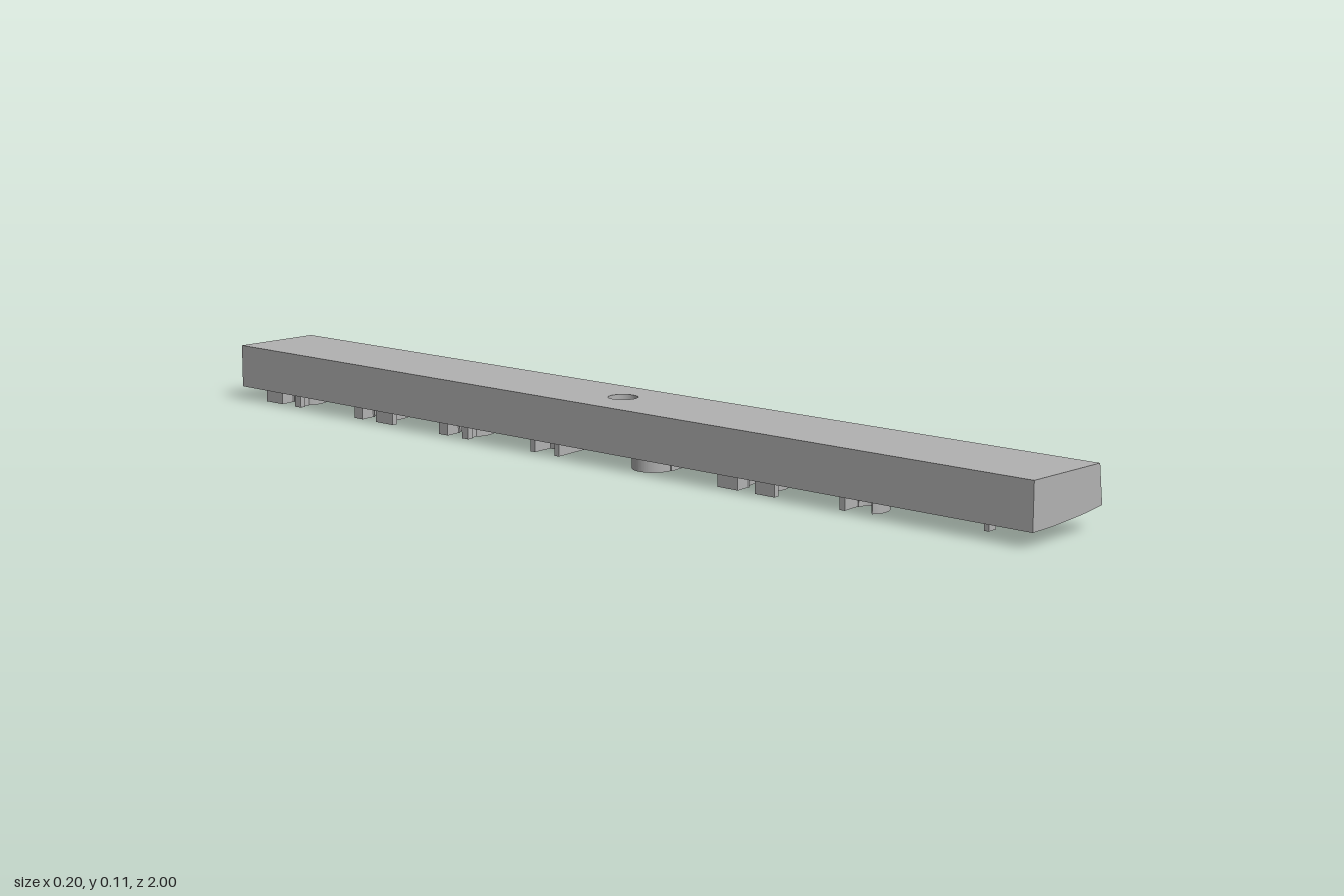
import * as THREE from 'three';
import { mergeGeometries } from 'three/addons/utils/BufferGeometryUtils.js';

const TOP = 0.115, HOLE = 0.028, DEPTH = 0.028;
const STEPS = [-0.1, -0.04, 0.04, 0.07, 0.1];

// Height of the gently curved underside, by x
const under = (x) => 0.028 + 0.014 * ((x + 0.1) / 0.2) ** 2;
const underFlat = (x) => {
  let i = 0;
  while (i < STEPS.length - 2 && x > STEPS[i + 1]) i++;
  const t = (x - STEPS[i]) / (STEPS[i + 1] - STEPS[i]);
  return THREE.MathUtils.lerp(under(STEPS[i]), under(STEPS[i + 1]), t);
};

const poly = (pts) => new THREE.Shape(pts.map(([x, y]) => new THREE.Vector2(x, y)));
const rect = (x0, x1, z0, z1) => poly([[x0, z0], [x1, z0], [x1, z1], [x0, z1]]);

function withHole(shape) {
  shape.holes.push(new THREE.Path().absarc(0, 0, HOLE, 0, Math.PI * 2, true));
  return shape;
}

// Open ring section in plan
function arc(cx, cz, r, a0, a1, w = 0.012) {
  const s = new THREE.Shape();
  s.absarc(cx, cz, r, a0, a1, false);
  s.absarc(cx, cz, r - w, a1, a0, true);
  return s;
}

// Raises plan shapes downwards from the underside
function relief(shapes) {
  const g = new THREE.ExtrudeGeometry(shapes, { depth: 1, bevelEnabled: false, curveSegments: 20 });
  g.rotateX(Math.PI / 2);
  const p = g.attributes.position;
  for (let i = 0; i < p.count; i++) {
    const f = under(p.getX(i));
    p.setY(i, p.getY(i) < -0.5 ? f - DEPTH : f + 0.002);
  }
  g.computeVertexNormals();
  return g;
}

export function createModel() {
  const group = new THREE.Group();
  const grey = new THREE.MeshStandardMaterial({ color: 0xb2b2b2 });
  grey.name = 'grey';
  const add = (name, geometry) => {
    const m = new THREE.Mesh(geometry, grey);
    m.name = name;
    group.add(m);
    return m;
  };

  // Top face with the through hole
  add('topFace', new THREE.ShapeGeometry(withHole(rect(-0.1, 0.09, -1, 1)), 24)
    .rotateX(-Math.PI / 2).translate(0, TOP, 0));

  // Curved underside in long strips
  const strips = STEPS.slice(1).map((x1, i) => {
    const s = rect(STEPS[i], x1, -1, 1);
    return new THREE.ShapeGeometry(i === 1 ? withHole(s) : s, 24).rotateX(Math.PI / 2);
  });
  const underside = mergeGeometries(strips);
  const up = underside.attributes.position;
  for (let i = 0; i < up.count; i++) up.setY(i, underFlat(up.getX(i)));
  underside.computeVertexNormals();
  add('underside', underside);

  // End faces
  const section = poly([...STEPS.map((x) => [x, under(x)]), [0.09, TOP], [-0.1, TOP]]);
  add('frontEnd', new THREE.ShapeGeometry(section).translate(0, 0, 1));
  const back = new THREE.ShapeGeometry(section);
  back.setIndex([...back.index.array].reverse());
  back.computeVertexNormals();
  add('backEnd', back.translate(0, 0, -1));

  // Long sides, the left one leaning inwards
  for (const [name, s, xTop] of [['leftSide', 1, 0.09], ['rightSide', -1, -0.1]]) {
    const g = new THREE.PlaneGeometry(2, 1).rotateY(s * Math.PI / 2);
    const p = g.attributes.position;
    for (let i = 0; i < p.count; i++) {
      const high = p.getY(i) > 0;
      p.setXYZ(i, high ? xTop : s * 0.1, high ? TOP : under(s * 0.1), p.getZ(i));
    }
    g.computeVertexNormals();
    add(name, g);
  }

  // Hole wall, seen from inside
  const wall = new THREE.CylinderGeometry(HOLE, HOLE, 1, 48, 1, true);
  const wp = wall.attributes.position;
  for (let i = 0; i < wp.count; i++) wp.setY(i, wp.getY(i) > 0 ? TOP : underFlat(wp.getX(i)));
  wall.scale(1, 1, 1);
  wall.setIndex([...wall.index.array].reverse());
  const wn = wall.attributes.normal;
  for (let i = 0; i < wn.count; i++) wn.setXYZ(i, -wn.getX(i), 0, -wn.getZ(i));
  add('holeWall', wall);

  // Small peg near the front end
  add('peg', relief([rect(-0.045, -0.025, 0.865, 0.875)]));

  // Open rings with two feet: centre, reach of each foot
  for (const [z, low, high] of [[0.375, 0.068, 0.065], [-0.375, 0.045, 0.038],
    [-0.625, 0.045, 0.07], [-0.875, 0.07, 0.038]]) {
    const r = 0.042;
    add('footedRing', relief([
      arc(-0.026, z, r, -Math.PI * 0.78, Math.PI * 0.78),
      rect(-0.081, -0.069, z - low, z - 0.02),
      rect(-0.081, -0.069, z + 0.02, z + high),
      rect(-0.075, -0.05, z - 0.032, z - 0.021),
      rect(-0.075, -0.05, z + 0.021, z + 0.032),
    ]));
  }

  // Bar along x with a bow
  add('barAndBow', relief([
    rect(-0.081, 0.018, 0.586, 0.598),
    arc(-0.045, 0.624, 0.036, -Math.PI * 0.5, Math.PI * 0.75),
  ]));

  // Bar along z with a bow
  add('bowAndArm', relief([
    rect(0.004, 0.016, 0.052, 0.172),
    arc(-0.038, 0.115, 0.042, Math.PI * 0.5, Math.PI * 1.6),
    rect(-0.04, 0.01, 0.148, 0.16),
  ]));

  // Stepped bracket
  add('bracket', relief([
    rect(-0.081, 0.018, -0.102, -0.09),
    rect(-0.04, -0.028, -0.16, -0.1),
    rect(-0.081, -0.03, -0.165, -0.153),
  ]));

  return group;
}
